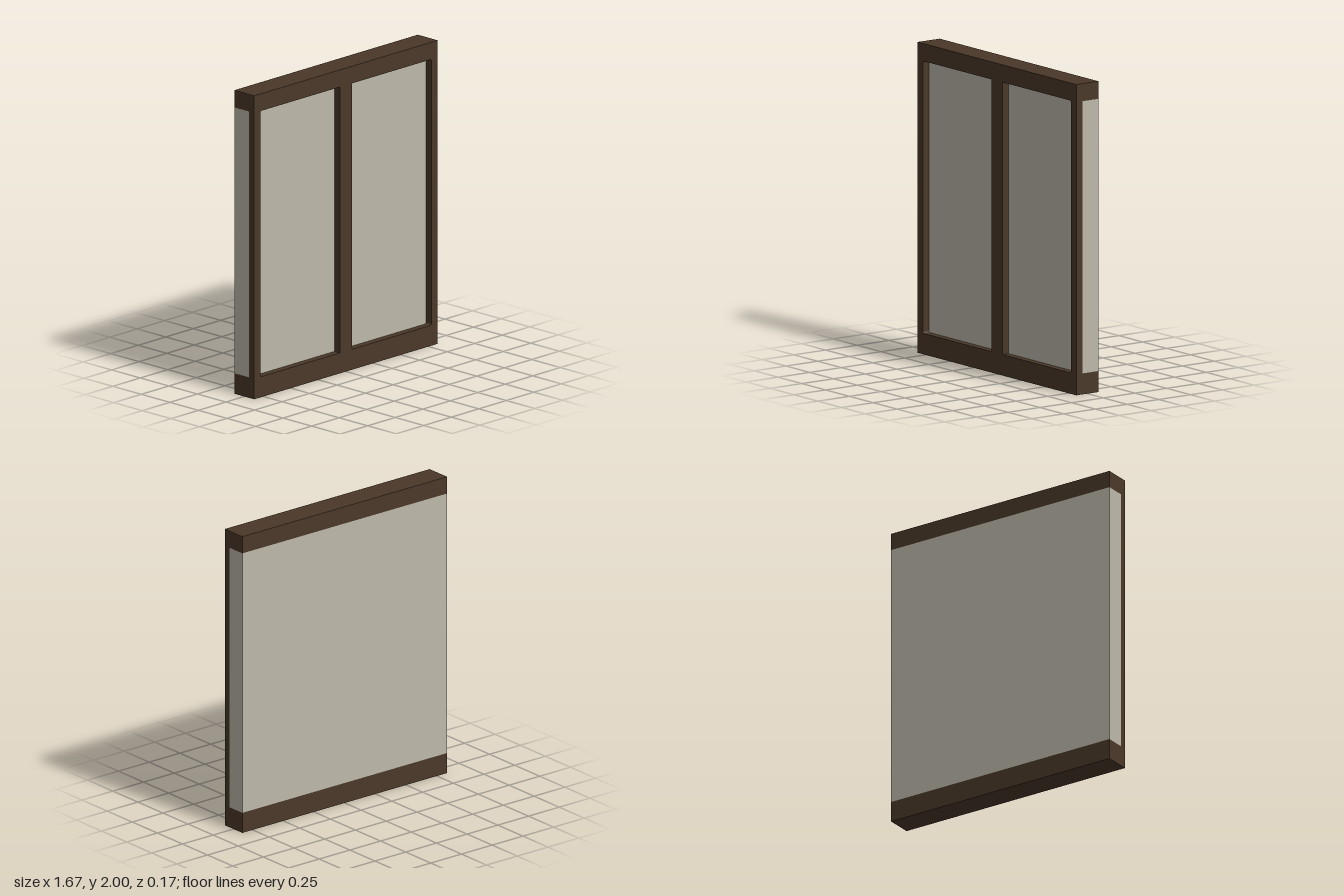
import * as THREE from 'three';

const W = 1.667, H = 2, D = 0.174;       // overall size
const LOW = 0.135, HIGH = 1.887;         // opening bottom and top
const OPEN = 0.777;                      // half width of the opening
const FACE = 0.04;                       // front of the infill panel

function createModel() {
  const model = new THREE.Group();
  const wood = new THREE.MeshStandardMaterial({ color: 0x4a3829 });
  wood.name = 'dark wood';
  const plaster = new THREE.MeshStandardMaterial({ color: 0xbdb8aa });
  plaster.name = 'pale plaster';

  const add = (name, geometry, material) => {
    const mesh = new THREE.Mesh(geometry, material);
    mesh.name = name;
    model.add(mesh);
    return mesh;
  };

  // Box given by its limits
  const block = (name, material, x0, x1, y0, y1, z0, z1) =>
    add(name, new THREE.BoxGeometry(x1 - x0, y1 - y0, z1 - z0), material)
      .position.set((x0 + x1) / 2, (y0 + y1) / 2, (z0 + z1) / 2);

  // Front frame with a slightly rounded opening
  const outline = new THREE.Shape();
  outline.moveTo(-W / 2, 0).lineTo(W / 2, 0).lineTo(W / 2, H).lineTo(-W / 2, H).closePath();
  const r = 0.012;
  const hole = new THREE.Path();
  hole.moveTo(-OPEN + r, LOW);
  hole.lineTo(OPEN - r, LOW).quadraticCurveTo(OPEN, LOW, OPEN, LOW + r);
  hole.lineTo(OPEN, HIGH - r).quadraticCurveTo(OPEN, HIGH, OPEN - r, HIGH);
  hole.lineTo(-OPEN + r, HIGH).quadraticCurveTo(-OPEN, HIGH, -OPEN, HIGH - r);
  hole.lineTo(-OPEN, LOW + r).quadraticCurveTo(-OPEN, LOW, -OPEN + r, LOW);
  outline.holes.push(hole);
  const frame = new THREE.ExtrudeGeometry(outline, { depth: D / 2 - FACE, bevelEnabled: false, curveSegments: 3 });
  frame.translate(0, 0, FACE);
  add('frontFrame', frame, wood);

  // Full-depth rails behind the frame
  block('bottomRail', wood, -W / 2, W / 2, 0, LOW, -D / 2, FACE);
  block('topRail', wood, -W / 2, W / 2, HIGH, H, -D / 2, FACE);

  // Infill panel, reaching the sides and the back
  block('infillPanel', plaster, -W / 2, W / 2, LOW, HIGH, -D / 2, FACE);

  // Central post
  block('centrePost', wood, -0.056, 0.056, LOW, HIGH, FACE, D / 2);

  return model;
}

export { createModel };
